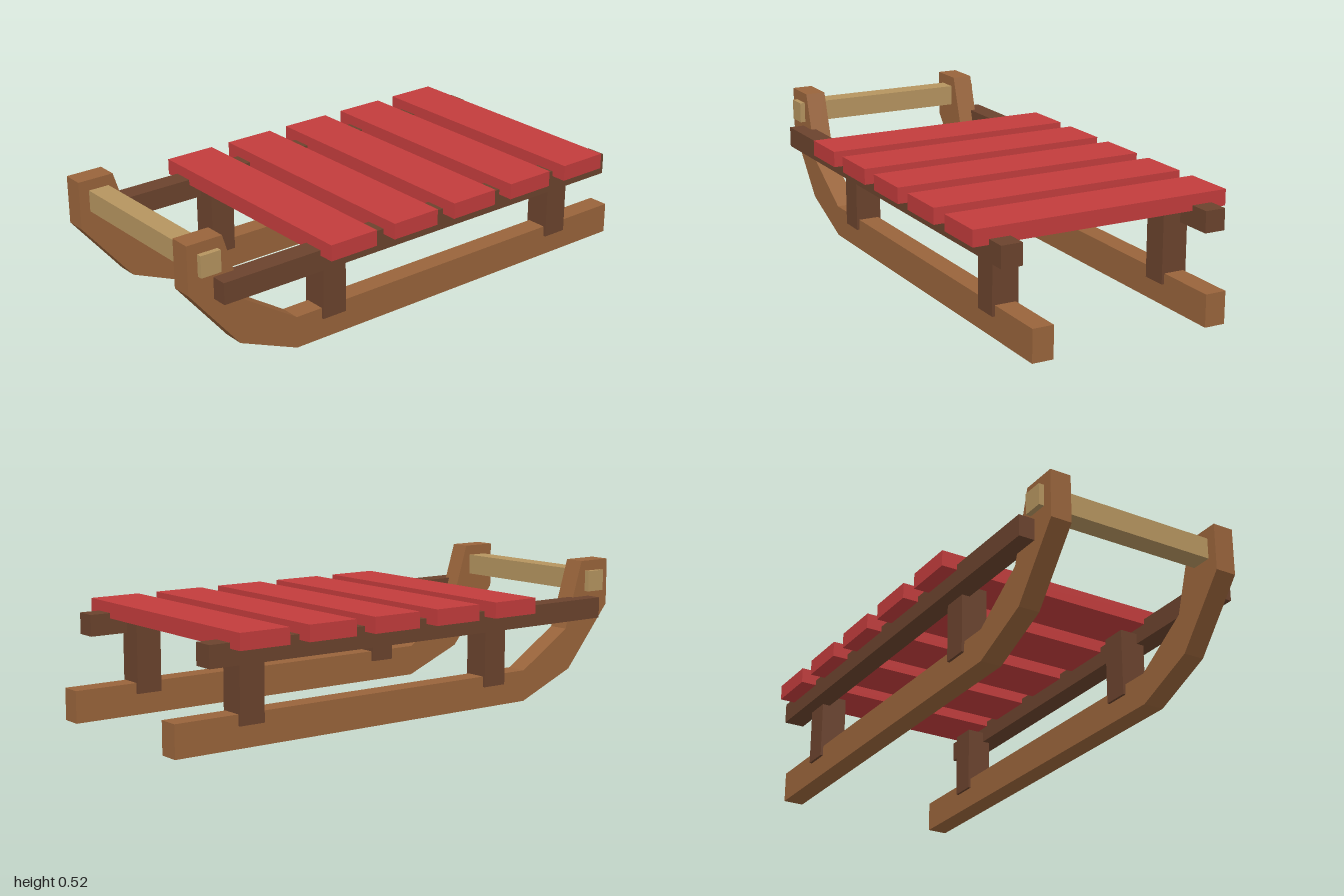
import * as THREE from 'three';

const material = (name, color) => {
  const m = new THREE.MeshStandardMaterial({ color });
  m.name = name;
  return m;
};

export function createModel() {
  const runnerWood = material('runner brown', 0x99643b);
  const darkWood = material('dark brown', 0x6b432d);
  const redPaint = material('red', 0xc23c3c);
  const paleWood = material('pale wood', 0xb5945f);

  const sled = new THREE.Group();
  sled.name = 'sled';

  const addBox = (name, mat, size, position) => {
    const mesh = new THREE.Mesh(new THREE.BoxGeometry(...size), mat);
    mesh.name = name;
    mesh.position.set(...position);
    sled.add(mesh);
  };

  // Runner side profile as (z, y), curling up at the front
  const profile = [
    [-1, 0], [0.56, 0], [0.8, 0.1], [1, 0.34], [1, 0.52],
    [0.86, 0.52], [0.78, 0.26], [0.56, 0.12], [-1, 0.12],
  ].map(([z, y]) => new THREE.Vector2(z, y));
  const runnerGeometry = new THREE.ExtrudeGeometry(new THREE.Shape(profile), {
    depth: 0.08, bevelEnabled: false,
  });
  runnerGeometry.translate(0, 0, -0.04).rotateY(-Math.PI / 2);

  // Runner, posts and seat rail on each side
  for (const [side, s] of [['left', 1], ['right', -1]]) {
    const runner = new THREE.Mesh(runnerGeometry, runnerWood);
    runner.name = `${side}Runner`;
    runner.position.x = s * 0.34;
    sled.add(runner);

    addBox(`${side}FrontPost`, darkWood, [0.1, 0.26, 0.1], [s * 0.34, 0.21, 0.4]);
    addBox(`${side}RearPost`, darkWood, [0.1, 0.26, 0.1], [s * 0.34, 0.21, -0.7]);
    addBox(`${side}Rail`, darkWood, [0.08, 0.08, 1.8], [s * 0.4, 0.34, 0]);
  }

  // Seat slats
  for (let i = 0; i < 5; i++) {
    addBox(`seatSlat${i + 1}`, redPaint, [1, 0.06, 0.2], [0, 0.39, 0.4 - i * 0.28]);
  }

  // Crossbar through the runner tips
  addBox('frontCrossbar', paleWood, [0.8, 0.08, 0.08], [0, 0.44, 0.92]);

  return sled;
}
